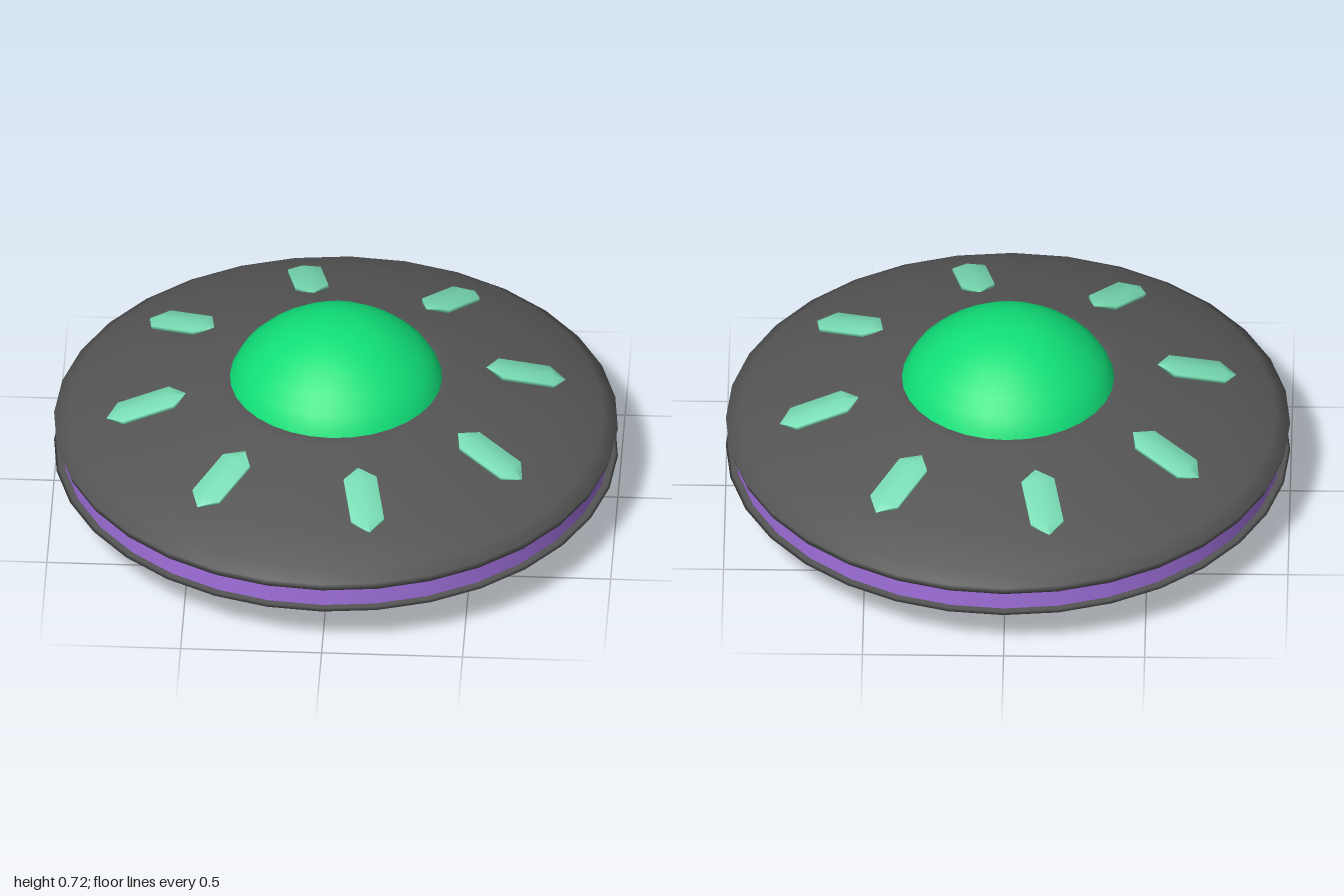
import * as THREE from 'three';

const SIDES = 32;

// Surface of revolution from [radius, height] pairs, listed bottom to top
function turned(name, profile, color) {
  const points = profile.map(([r, y]) => new THREE.Vector2(r, y));
  const mesh = new THREE.Mesh(
    new THREE.LatheGeometry(points, SIDES),
    new THREE.MeshStandardMaterial({ color, side: THREE.DoubleSide })
  );
  mesh.name = name;
  return mesh;
}

export function createModel() {
  const model = new THREE.Group();
  model.name = 'flyingSaucer';

  // Lower hull: flat base flaring out to the rim
  model.add(turned('lowerHull', [
    [0, 0.003], [0.44, 0.003], [0.47, 0.03], [0.82, 0.1], [0.96, 0.155], [1, 0.183], [0.99, 0.19], [0.9, 0.19],
  ], 0x555555));

  // Glowing band set back between the two hull halves
  model.add(turned('rimBand', [[0.97, 0.185], [0.97, 0.272]], 0xa070dc));

  // Upper hull: rim lip, sloping deck and flat collar under the dome
  model.add(turned('upperHull', [
    [0.9, 0.268], [0.99, 0.268], [1, 0.3], [0.95, 0.335], [0.79, 0.4], [0.44, 0.5], [0.38, 0.493], [0, 0.493],
  ], 0x555555));

  // Cockpit dome
  model.add(turned('dome', [
    [0.383, 0.475], [0.37, 0.51], [0.342, 0.56], [0.295, 0.608], [0.23, 0.658], [0.16, 0.695], [0.08, 0.719], [0, 0.721],
  ], 0x10e078));

  // Ring of flattened crystal lights lying on the deck slope
  const crystal = new THREE.LatheGeometry(
    [[0, -0.148], [0.068, -0.095], [0.068, 0.095], [0, 0.148]].map(([r, y]) => new THREE.Vector2(r, y)), 6
  );
  crystal.scale(1, 1, 0.22);
  crystal.rotateX(Math.PI / 2);
  crystal.rotateX(Math.atan2(0.1, 0.35));
  crystal.translate(0, 0.435, 0.68);
  const lightMaterial = new THREE.MeshStandardMaterial({ color: 0x78dcb4 });
  const lights = new THREE.Group();
  lights.name = 'deckLights';
  for (let i = 0; i < 8; i++) {
    const light = new THREE.Mesh(crystal, lightMaterial);
    light.name = 'deckLight' + (i + 1);
    light.rotation.y = Math.PI / 16 + (i * Math.PI) / 4;
    lights.add(light);
  }
  model.add(lights);

  return model;
}
